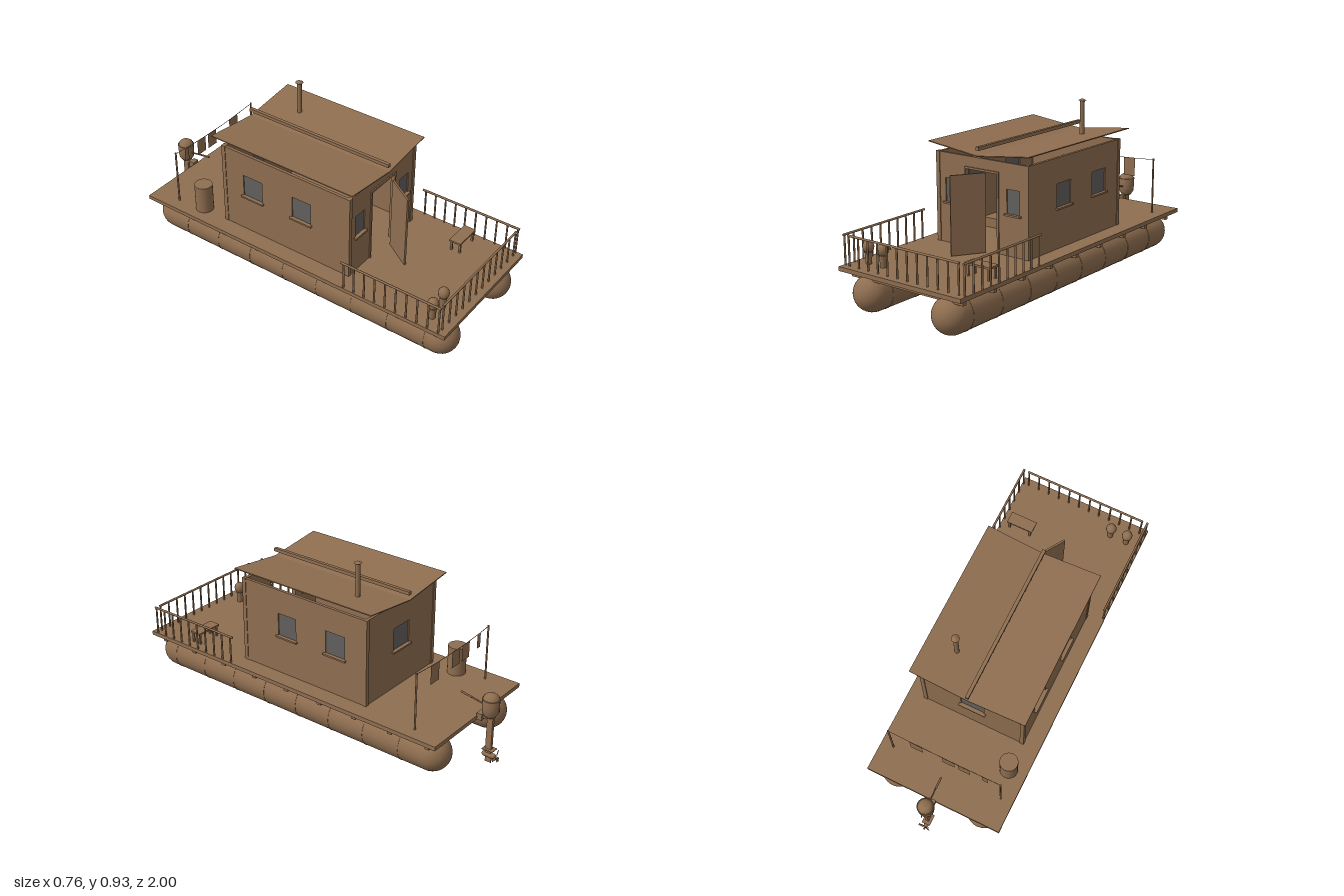
import * as THREE from 'three';

export function createModel() {
  const wood = new THREE.MeshStandardMaterial({ color: 0x8f6e50 });
  wood.name = 'brown';
  const glass = new THREE.MeshStandardMaterial({ color: 0x62605e });
  glass.name = 'windowGrey';
  const cloth = wood.clone();
  cloth.name = 'brownSheet';
  cloth.side = THREE.DoubleSide;

  const model = new THREE.Group();
  model.name = 'houseboat';
  const add = (name, geo, x = 0, y = 0, z = 0, parent = model, mat = wood) => {
    const m = new THREE.Mesh(geo, mat);
    m.name = name;
    m.position.set(x, y, z);
    parent.add(m);
    return m;
  };
  const group = (name, parent = model) => {
    const g = new THREE.Group();
    g.name = name;
    parent.add(g);
    return g;
  };
  const box = (w, h, d) => new THREE.BoxGeometry(w, h, d);
  const cyl = (r, h, n = 12, r2 = r) => new THREE.CylinderGeometry(r, r2, h, n);
  const lathe = (pts, n = 24) => new THREE.LatheGeometry(pts.map(p => new THREE.Vector2(...p)), n);
  // rod between two points
  const rod = (name, a, b, r, parent) => {
    const A = new THREE.Vector3(...a), B = new THREE.Vector3(...b);
    const m = add(name, cyl(r, A.distanceTo(B), 8), 0, 0, 0, parent);
    m.position.copy(A).lerp(B, 0.5);
    m.quaternion.setFromUnitVectors(new THREE.Vector3(0, 1, 0), B.sub(A).normalize());
    return m;
  };

  // Floats with weld seams
  for (const s of [-1, 1]) {
    const f = group(s > 0 ? 'leftFloat' : 'rightFloat');
    const tube = add('floatTube', new THREE.CapsuleGeometry(0.094, 1.687, 10, 32), s * 0.248, 0.12, 0.0625, f);
    tube.rotation.x = Math.PI / 2;
    for (let i = 0; i < 8; i++) {
      const seam = add('floatSeam', cyl(0.0955, 0.005, 32), s * 0.248, 0.12, 0.86 - i * 0.214, f);
      seam.rotation.x = Math.PI / 2;
    }
  }

  // Deck on cross beams
  add('deck', box(0.756, 0.022, 1.872), 0, 0.237, 0.06);
  for (let i = 0; i < 9; i++) add('crossBeam', box(0.694, 0.03, 0.024), 0, 0.207, 0.93 - i * 0.2175);

  // Cabin walls with openings; hole = [x0, x1, y0, y1]
  const cabin = group('cabin');
  const T = 0.016, Y0 = 0.248, Y1 = 0.713;
  const wall = (name, w, holes, x, z, turn, door) => {
    const g = group(name, cabin);
    const s = new THREE.Shape();
    s.moveTo(-w / 2, Y0);
    if (door) {
      s.lineTo(-door, Y0); s.lineTo(-door, 0.65); s.lineTo(door, 0.65); s.lineTo(door, Y0);
    }
    s.lineTo(w / 2, Y0); s.lineTo(w / 2, Y1); s.lineTo(-w / 2, Y1);
    s.closePath();
    for (const [a, b, c, d] of holes) {
      const h = new THREE.Path();
      h.moveTo(a, c); h.lineTo(a, d); h.lineTo(b, d); h.lineTo(b, c);
      h.closePath();
      s.holes.push(h);
      add('windowPane', box(b - a, d - c, 0.004), (a + b) / 2, (c + d) / 2, -0.008, g, glass);
      add('windowSill', box(b - a + 0.02, 0.009, 0.016), (a + b) / 2, c - 0.004, 0.006, g);
    }
    add('wallPanel', new THREE.ExtrudeGeometry(s, { depth: T, bevelEnabled: false }), 0, 0, -T, g);
    g.position.set(x, 0, z);
    g.rotation.y = turn;
    return g;
  };
  const wy = [0.46, 0.583];
  const front = wall('frontWall', 0.57, [[-0.233, -0.155, ...wy], [0.155, 0.233, ...wy]], 0, 0.383, 0, 0.097);
  wall('backWall', 0.57, [[-0.065, 0.065, ...wy]], 0, -0.405, Math.PI);
  wall('leftWall', 0.756, [[-0.162, -0.047, ...wy], [0.143, 0.263, ...wy]], 0.287, -0.011, Math.PI / 2);
  wall('rightWall', 0.756, [[-0.263, -0.143, ...wy], [0.047, 0.162, ...wy]], -0.287, -0.011, -Math.PI / 2);
  for (const x of [-1, 1]) for (const z of [0.376, -0.398])
    add('cornerPost', box(0.022, 0.467, 0.022), x * 0.279, 0.4815, z, cabin);

  // Door frame, open door, bunk
  for (const s of [-1, 1]) add('doorJamb', box(0.011, 0.412, 0.024), s * 0.102, 0.454, -0.006, front);
  add('doorHead', box(0.215, 0.011, 0.024), 0, 0.655, -0.006, front);
  const door = add('door', box(0.178, 0.403, 0.01), -0.002, 0.4535, 0.487);
  door.rotation.y = 1.0;
  add('bunk', box(0.18, 0.05, 0.4), -0.175, 0.274, -0.15, cabin);

  // Valley roof with the beam above it
  for (const s of [-1, 1]) {
    const r = add(s > 0 ? 'leftRoof' : 'rightRoof', box(0.316, 0.005, 0.866), s * 0.1565, 0.7465, -0.018);
    r.rotation.z = s * Math.atan2(0.037, 0.313);
  }
  add('roofBeam', box(0.018, 0.018, 0.866), 0, 0.766, -0.018);

  // Stove pipe
  add('stovePipe', cyl(0.0125, 0.18, 16), 0.155, 0.838, -0.25);
  add('stovePipeCap', cyl(0.003, 0.01, 16, 0.021), 0.155, 0.93, -0.25);

  // Railings
  const rails = group('railings');
  const post = (x, z) => add('railPost', cyl(0.005, 0.15, 8), x, 0.323, z, rails);
  for (let i = 0; i < 12; i++) post(-0.34 + i * 0.0618, 0.96);
  rod('frontRail', [-0.345, 0.398, 0.96], [0.345, 0.398, 0.96], 0.006, rails);
  for (const s of [-1, 1]) {
    for (let i = 0; i < 10; i++) post(s * 0.371, 0.957 - i * 0.0605);
    rod('sideRail', [s * 0.371, 0.398, 0.965], [s * 0.371, 0.398, 0.395], 0.006, rails);
  }

  // Potted plants, bench, barrel
  for (const x of [-0.295, -0.2]) {
    const p = group('pottedPlant');
    add('pot', cyl(0.019, 0.06, 12, 0.015), x, 0.278, 0.877, p);
    add('foliage', new THREE.SphereGeometry(0.029, 12, 8), x, 0.334, 0.877, p).scale.y = 1.12;
  }
  const bench = group('bench');
  add('benchSeat', box(0.15, 0.01, 0.066), 0.26, 0.31, 0.706, bench);
  for (const x of [0.2, 0.323]) for (const z of [0.682, 0.73])
    add('benchLeg', box(0.01, 0.058, 0.01), x, 0.277, z, bench);
  add('barrel', cyl(0.048, 0.155, 24), -0.28, 0.3255, -0.56);

  // Clothesline
  const line = group('clothesline');
  for (const s of [-1, 1]) add('linePole', cyl(0.005, 0.305, 8), s * 0.31, 0.4, -0.715, line);
  const sag = new THREE.QuadraticBezierCurve3(
    new THREE.Vector3(-0.31, 0.548, -0.715), new THREE.Vector3(0, 0.52, -0.715), new THREE.Vector3(0.31, 0.548, -0.715));
  add('line', new THREE.TubeGeometry(sag, 12, 0.0015, 5), 0, 0, 0, line);
  for (const [x, w, h] of [[0.157, 0.07, 0.1], [-0.022, 0.068, 0.09], [-0.108, 0.065, 0.09], [-0.225, 0.03, 0.075]])
    add('laundry', new THREE.PlaneGeometry(w, h), x, 0.537 - h / 2, -0.715, line, cloth);

  // Outboard motor
  const motor = group('outboardMotor');
  add('motorBracket', box(0.04, 0.035, 0.03), 0, 0.245, -0.888, motor);
  add('motorMount', box(0.02, 0.02, 0.05), 0, 0.25, -0.915, motor);
  add('motorCowl', lathe([[0, 0.26], [0.028, 0.26], [0.04, 0.28], [0.043, 0.31], [0.043, 0.345],
    [0.037, 0.368], [0.022, 0.38], [0, 0.383]]), 0, 0, -0.938, motor);
  add('cowlBand', cyl(0.0445, 0.008, 24), 0, 0.352, -0.938, motor);
  add('driveLeg', box(0.016, 0.21, 0.032), 0, 0.16, -0.942, motor);
  add('splashPlate', box(0.045, 0.004, 0.06), 0, 0.076, -0.945, motor);
  const gear = add('gearCase', new THREE.CapsuleGeometry(0.014, 0.05, 6, 12), 0, 0.042, -0.945, motor);
  gear.rotation.x = Math.PI / 2;
  add('skeg', box(0.005, 0.055, 0.034), 0, 0.028, -0.942, motor);
  for (let i = 0; i < 3; i++) {
    const blade = group('propellerBlade', motor);
    blade.position.set(0, 0.042, -0.986);
    blade.rotation.z = (i * 2 * Math.PI) / 3;
    add('blade', box(0.028, 0.013, 0.003), 0.023, 0, 0, blade).rotation.x = 0.5;
  }
  rod('propellerShaft', [0, 0.042, -0.96], [0, 0.042, -1.0], 0.005, motor);
  rod('tiller', [0, 0.312, -0.9], [0, 0.325, -0.83], 0.004, motor);
  rod('tillerGrip', [0, 0.325, -0.83], [0, 0.335, -0.768], 0.005, motor);
  rod('starterHandle', [0, 0.298, -0.986], [0, 0.322, -0.986], 0.003, motor);

  return model;
}
